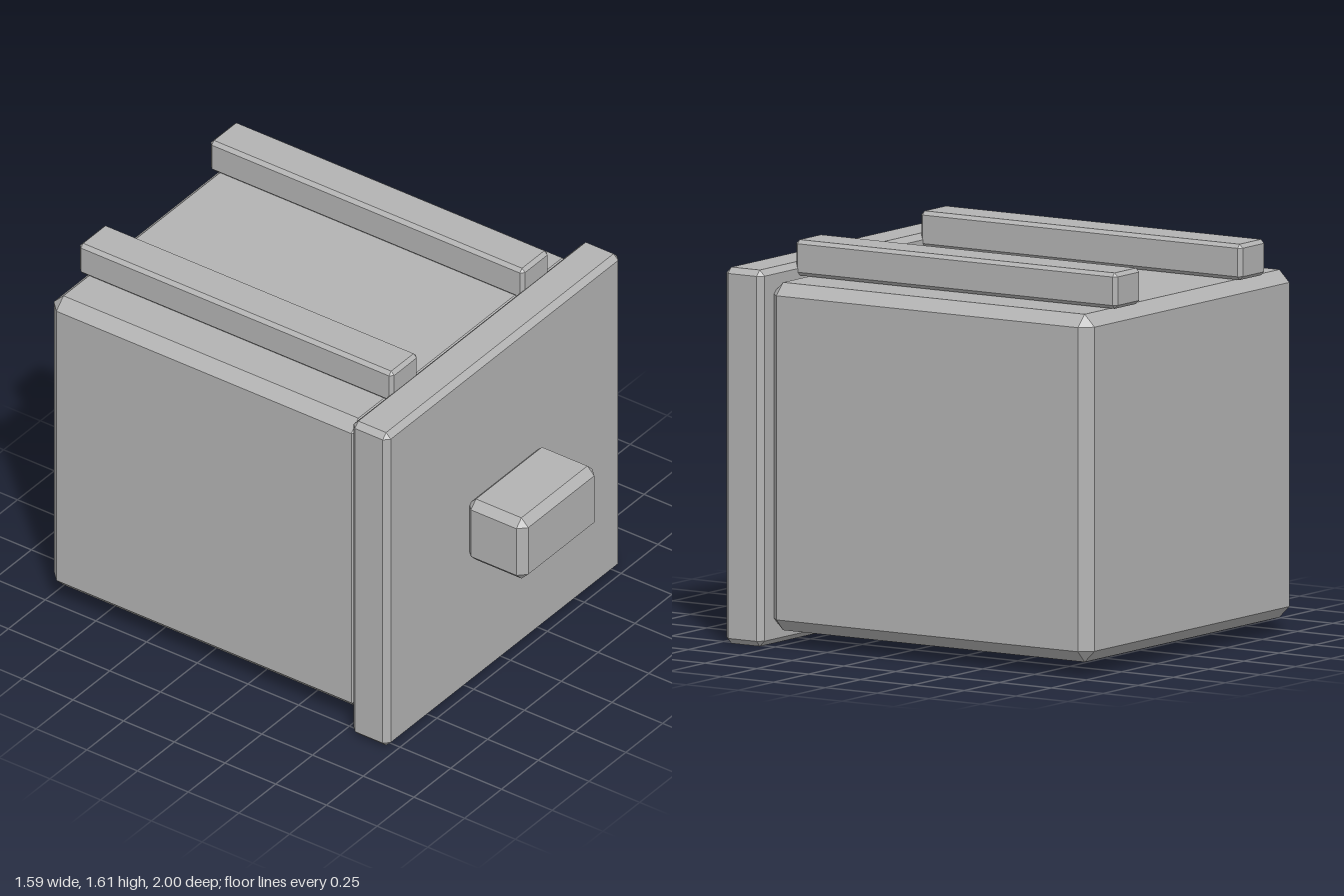
import * as THREE from 'three';
import { ConvexGeometry } from 'three/addons/geometries/ConvexGeometry.js';

const grey = new THREE.MeshStandardMaterial({ color: 0xb3b3b3 });
grey.name = 'grey';

// Box between two corners with every edge cut by a flat bevel
function beveledBox(name, min, max, bevel) {
  const half = max.map((v, i) => (v - min[i]) / 2);
  const points = [];
  for (const sx of [-1, 1]) for (const sy of [-1, 1]) for (const sz of [-1, 1]) {
    // three points per corner, one on each adjoining face
    for (let axis = 0; axis < 3; axis++) {
      const c = [sx, sy, sz].map((s, i) => s * (half[i] - (i === axis ? 0 : bevel)));
      points.push(new THREE.Vector3(...c));
    }
  }
  const mesh = new THREE.Mesh(new ConvexGeometry(points), grey);
  mesh.name = name;
  mesh.position.set(...min.map((v, i) => (v + max[i]) / 2));
  return mesh;
}

export function createModel() {
  const group = new THREE.Group();
  group.name = 'drawer';

  // Main block, front panel and pull
  group.add(beveledBox('body', [-0.74, 0.06, -1], [0.74, 1.465, 0.55], 0.048));
  group.add(beveledBox('frontPanel', [-0.795, 0, 0.537], [0.795, 1.52, 0.72], 0.023));
  group.add(beveledBox('handle', [-0.258, 0.612, 0.708], [0.258, 0.907, 1], 0.034));

  // Pair of rails along the top
  for (const side of [-1, 1]) {
    const x = side * 0.444;
    const name = side > 0 ? 'leftRail' : 'rightRail';
    group.add(beveledBox(name, [x - 0.091, 1.467, -0.995], [x + 0.091, 1.612, 0.554], 0.015));
  }
  return group;
}
